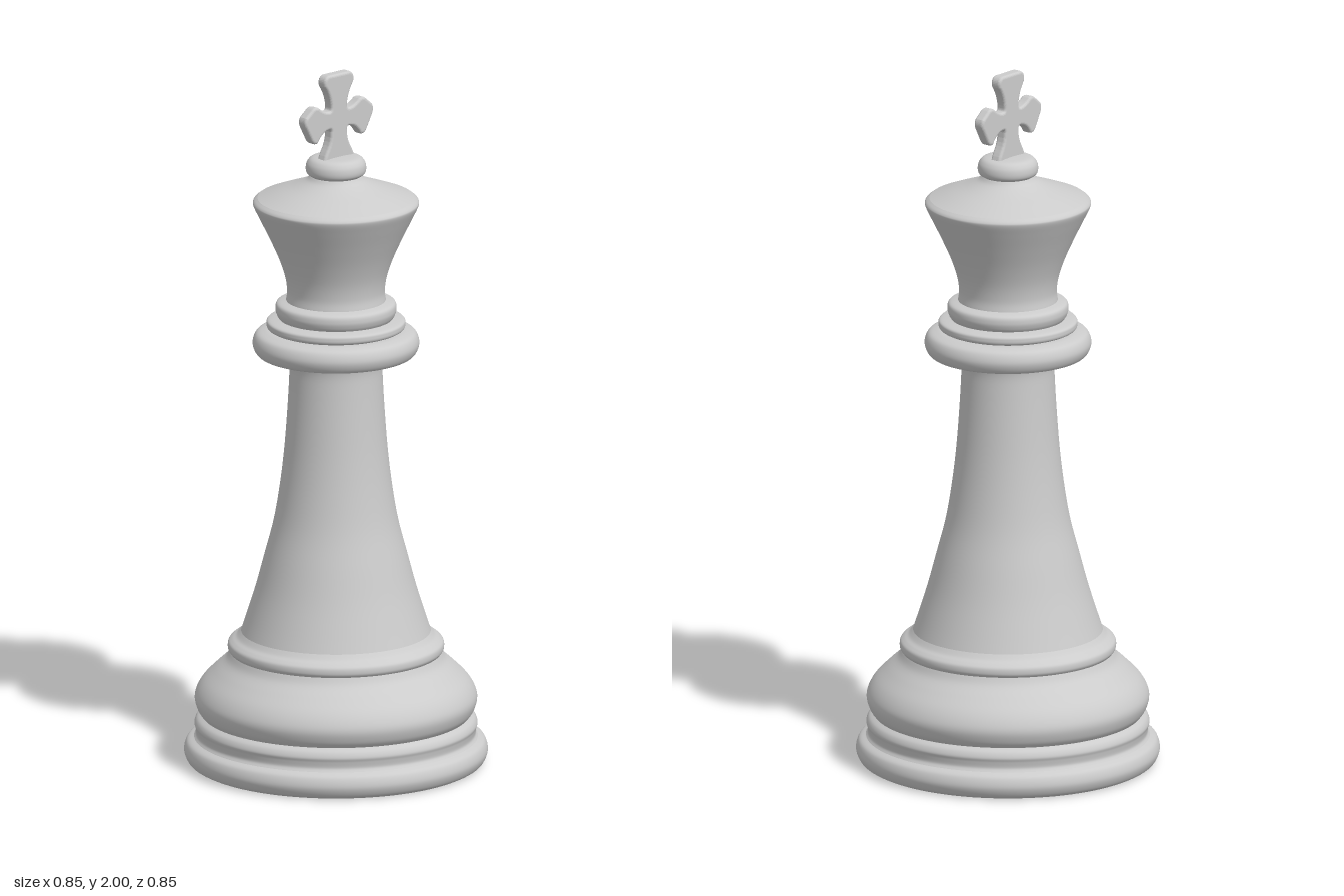
import * as THREE from 'three';

const material = new THREE.MeshStandardMaterial({ color: 0xcccccc, side: THREE.DoubleSide });

// Turned part: a smooth curve through [radius, height] points, spun around y
function turned(name, points, steps = points.length * 5) {
  const curve = new THREE.SplineCurve(points.map(([r, y]) => new THREE.Vector2(r, y)));
  const mesh = new THREE.Mesh(new THREE.LatheGeometry(curve.getPoints(steps), 96), material);
  mesh.name = name;
  return mesh;
}

// Flat cross with four flared arms and rounded edges
function makeCross() {
  const bevel = 0.008;
  const s = new THREE.Shape();
  s.moveTo(-0.05, 1.745);
  s.lineTo(0.05, 1.745);
  s.bezierCurveTo(0.048, 1.775, 0.022, 1.785, 0.022, 1.835);
  s.quadraticCurveTo(0.024, 1.853, 0.042, 1.85);
  s.quadraticCurveTo(0.068, 1.846, 0.085, 1.818);
  s.quadraticCurveTo(0.092, 1.816, 0.098, 1.828);
  s.lineTo(0.118, 1.866);
  s.quadraticCurveTo(0.123, 1.877, 0.118, 1.886);
  s.lineTo(0.095, 1.905);
  s.quadraticCurveTo(0.088, 1.91, 0.08, 1.906);
  s.quadraticCurveTo(0.058, 1.888, 0.038, 1.887);
  s.quadraticCurveTo(0.022, 1.888, 0.022, 1.905);
  s.quadraticCurveTo(0.024, 1.94, 0.046, 1.972);
  s.quadraticCurveTo(0.05, 1.988, 0.038, 1.992);
  // mirror the right-hand outline
  const right = s.getPoints(8).slice(1);
  const left = right.slice(1).reverse().map((p) => new THREE.Vector2(-p.x, p.y));
  const outline = new THREE.Shape([...right, ...left, new THREE.Vector2(-0.05, 1.745)]);
  const depth = 0.018;
  const geometry = new THREE.ExtrudeGeometry(outline, {
    depth, bevelEnabled: true, bevelThickness: bevel, bevelSize: bevel, bevelSegments: 4,
  });
  geometry.translate(0, 0, -depth / 2);
  const mesh = new THREE.Mesh(geometry, material);
  mesh.name = 'cross';
  return mesh;
}

export function createModel() {
  const group = new THREE.Group();
  group.name = 'chessKing';

  // Underside and stepped base
  const underside = new THREE.Mesh(new THREE.CircleGeometry(0.4, 96).rotateX(Math.PI / 2), material);
  underside.name = 'underside';
  group.add(underside);
  group.add(
    turned('foot', [[0.4, 0], [0.416, 0.01], [0.426, 0.036], [0.418, 0.063], [0.398, 0.075]]),
    turned('lowerStep', [[0.398, 0.075], [0.392, 0.085], [0.394, 0.102], [0.397, 0.115], [0.39, 0.13], [0.376, 0.14]]),
    turned('baseBulge', [[0.376, 0.14], [0.388, 0.157], [0.396, 0.185], [0.391, 0.21], [0.373, 0.239],
      [0.34, 0.272], [0.31, 0.3], [0.297, 0.322]]),
    turned('baseRing', [[0.297, 0.322], [0.303, 0.332], [0.302, 0.348], [0.292, 0.358], [0.278, 0.367], [0.266, 0.381]])
  );

  // Tapering stem
  group.add(turned('stem', [[0.266, 0.381], [0.25, 0.43], [0.225, 0.51], [0.201, 0.6], [0.175, 0.7], [0.158, 0.8],
    [0.146, 0.9], [0.138, 1.0], [0.132, 1.1], [0.131, 1.15], [0.138, 1.175], [0.158, 1.186]], 48));

  // Collar of three stacked rings
  group.add(
    turned('largeCollar', [[0.158, 1.186], [0.205, 1.183], [0.224, 1.19], [0.234, 1.217], [0.224, 1.244], [0.2, 1.254], [0.178, 1.256]]),
    turned('middleCollar', [[0.178, 1.256], [0.192, 1.262], [0.195, 1.273], [0.19, 1.284], [0.16, 1.29]]),
    turned('smallCollar', [[0.16, 1.29], [0.166, 1.3], [0.17, 1.316], [0.165, 1.334], [0.14, 1.342]])
  );

  // Flared head, its sloping lid and the knob
  group.add(
    turned('head', [[0.14, 1.342], [0.137, 1.37], [0.144, 1.415], [0.163, 1.47], [0.19, 1.53], [0.217, 1.585],
      [0.232, 1.617], [0.231, 1.628], [0.22, 1.637]]),
    turned('headLid', [[0.22, 1.637], [0.17, 1.656], [0.12, 1.674], [0.085, 1.69], [0.072, 1.703]]),
    turned('knob', [[0.072, 1.703], [0.082, 1.711], [0.085, 1.725], [0.081, 1.742], [0.067, 1.755], [0.035, 1.759], [0, 1.76]])
  );

  group.add(makeCross());
  return group;
}
